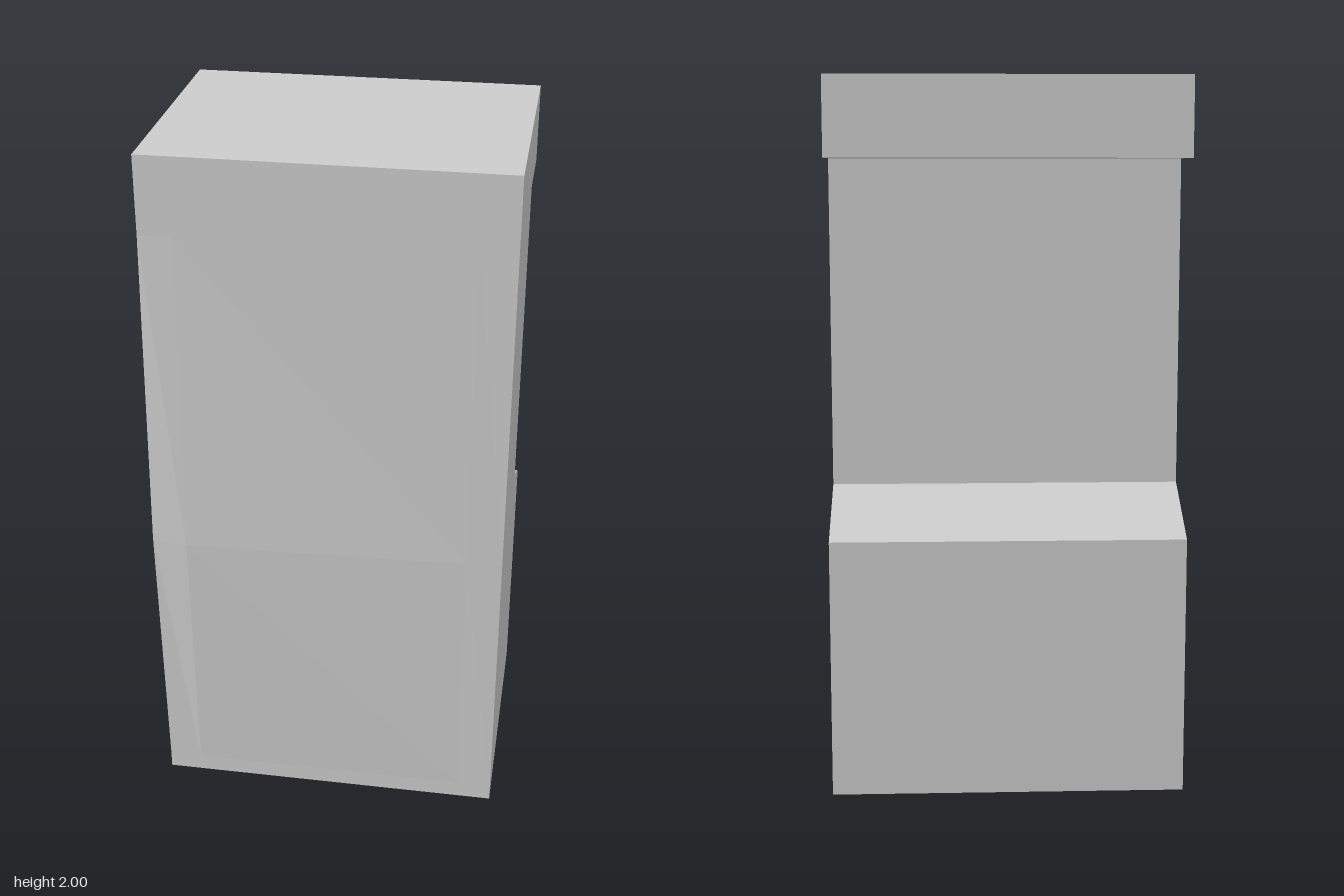
import * as THREE from 'three';

const LEFT = 0.5, RIGHT = -0.495, FRONT = 0.357, BACK = -0.39;

// Front face grid; only the row at y = 0.85 bulges outwards
const COLS = [RIGHT, -0.4, 0.4, LEFT];
const ROWS = [0, 0.05, 0.85, 1.78, 2];
const BULGE_ROW = 2;
const BULGE_Z = [0.37, 0.39, 0.36, FRONT];

function frontPoint(col, row) {
  const bulged = row === BULGE_ROW;
  const x = bulged && col === 0 ? -0.503 : COLS[col];
  return new THREE.Vector3(x, ROWS[row], bulged ? BULGE_Z[col] : FRONT);
}

// Back outline as [z, y]: overhanging top, upright recess, sloped ledge, base
const BACK_PROFILE = [
  [BACK, 2], [BACK, 1.78], [-0.16, 1.78], [-0.16, 0.85], [BACK, 0.73], [BACK, 0],
];

// Closed outline of one side: up the front edge, then down the back
function sideLoop(col) {
  return [
    ...ROWS.map((_, row) => frontPoint(col, row)),
    ...BACK_PROFILE.map(([z, y]) => new THREE.Vector3(COLS[col], y, z)),
  ];
}

function createBody() {
  const points = [];
  const quad = (a, b, c, d) => points.push(a, b, d, b, c, d);
  const rightLoop = sideLoop(0);
  const leftLoop = sideLoop(COLS.length - 1);

  // Faceted front
  for (let i = 0; i < COLS.length - 1; i++) {
    for (let j = 0; j < ROWS.length - 1; j++) {
      quad(frontPoint(i, j), frontPoint(i + 1, j), frontPoint(i + 1, j + 1), frontPoint(i, j + 1));
    }
  }

  // Top, stepped back and underside
  for (let k = ROWS.length - 1; k < rightLoop.length; k++) {
    const n = (k + 1) % rightLoop.length;
    quad(rightLoop[k], leftLoop[k], leftLoop[n], rightLoop[n]);
  }

  // Side panels
  const addSide = (loop, flip) => {
    const outline = loop.map((p) => new THREE.Vector2(p.z, p.y));
    for (const [a, b, c] of THREE.ShapeUtils.triangulateShape(outline, [])) {
      points.push(loop[a], loop[flip ? c : b], loop[flip ? b : c]);
    }
  };
  addSide(rightLoop, false);
  addSide(leftLoop, true);

  const geometry = new THREE.BufferGeometry().setFromPoints(points);
  geometry.computeVertexNormals();
  return geometry;
}

export function createModel() {
  const group = new THREE.Group();
  group.name = 'cabinet';
  const material = new THREE.MeshStandardMaterial({ color: 0xcccccc, flatShading: true });
  const body = new THREE.Mesh(createBody(), material);
  body.name = 'cabinetBody';
  group.add(body);
  return group;
}
